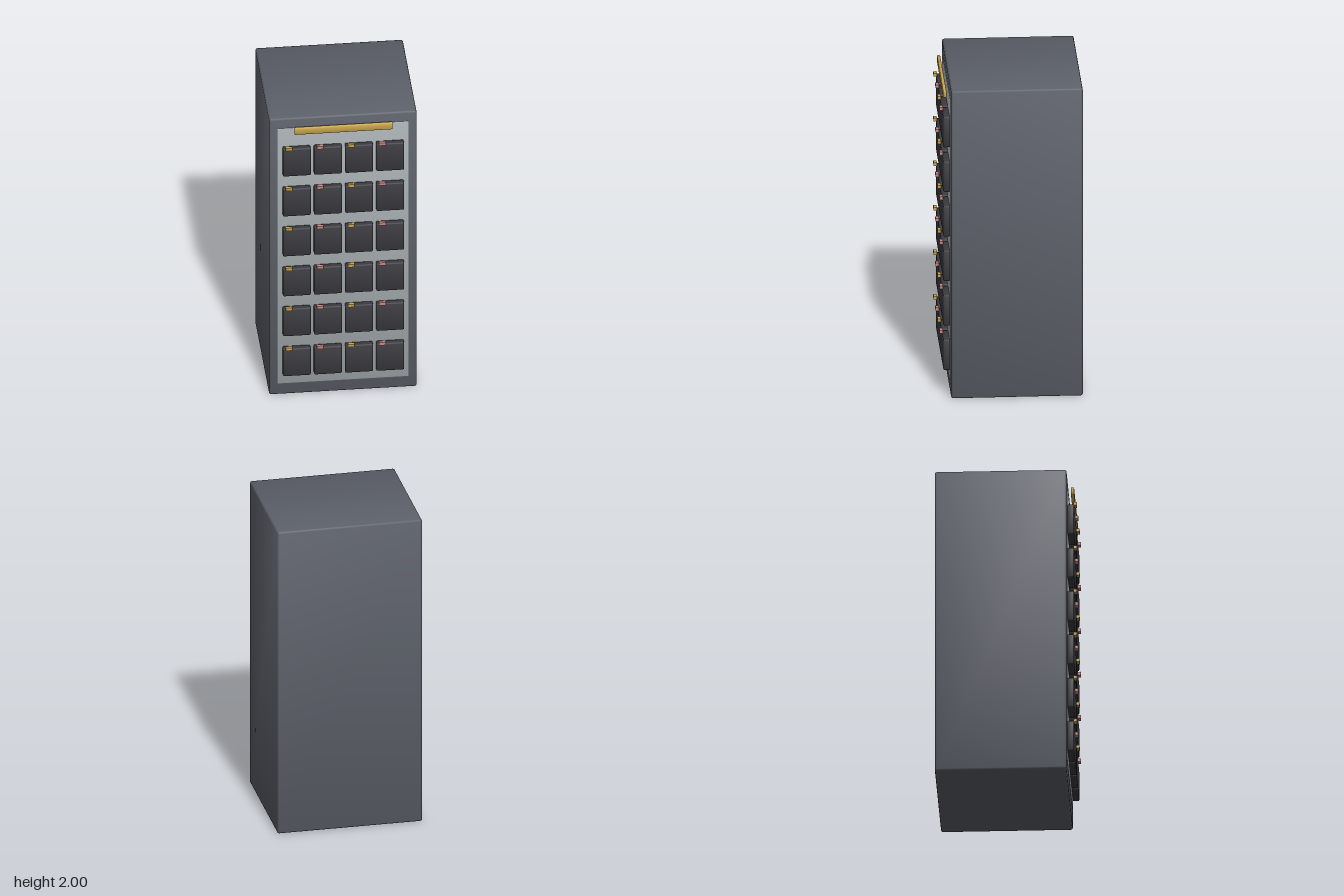
import * as THREE from 'three';
import { RoundedBoxGeometry } from 'three/addons/geometries/RoundedBoxGeometry.js';

const material = (name, color) => {
  const m = new THREE.MeshStandardMaterial({ color });
  m.name = name;
  return m;
};

// Bevelled box whose normals lean softly towards its corners
function softBox(w, h, d, bevel, lean = 0.35) {
  const g = new RoundedBoxGeometry(w, h, d, 1, bevel);
  const p = g.attributes.position, n = g.attributes.normal;
  const v = new THREE.Vector3();
  for (let i = 0; i < p.count; i++) {
    v.fromBufferAttribute(n, i);
    v.x += lean * Math.sign(p.getX(i));
    v.y += lean * Math.sign(p.getY(i));
    v.z += lean * Math.sign(p.getZ(i));
    v.normalize();
    n.setXYZ(i, v.x, v.y, v.z);
  }
  return g;
}

export function createModel() {
  const model = new THREE.Group();
  model.name = 'rackCabinet';

  const casing = material('slate grey', 0x5c6069);
  const silver = material('light grey', 0xa6adb0);
  const dark = material('charcoal', 0x3a3a40);
  const gold = material('gold', 0xc9a54c);
  const pink = material('pink', 0xcc8880);

  const add = (name, geometry, mat, x, y, z) => {
    const mesh = new THREE.Mesh(geometry, mat);
    mesh.name = name;
    mesh.position.set(x, y, z);
    model.add(mesh);
  };

  // Main body, front panel and the bar across its top
  add('cabinet', softBox(0.9, 2, 0.8, 0.012), casing, 0, 1, -0.03);
  add('frontPanel', softBox(0.8, 1.85, 0.02, 0.004), silver, 0, 1.005, 0.364);
  add('topBar', softBox(0.6, 0.048, 0.02, 0.006), gold, 0, 1.926, 0.4);

  // Six rows of four units, each with an indicator lamp
  const unit = softBox(0.17, 0.198, 0.042, 0.008);
  const lamp = new THREE.BoxGeometry(0.04, 0.02, 0.02);
  for (let row = 0; row < 6; row++) {
    for (let col = 0; col < 4; col++) {
      const x = (col - 1.5) * 0.19;
      const y = 0.254 + row * 0.29;
      add('unit', unit, dark, x, y, 0.392);
      add('indicatorLamp', lamp, col % 2 ? pink : gold, x - 0.05, y + 0.108, 0.419);
    }
  }
  return model;
}
